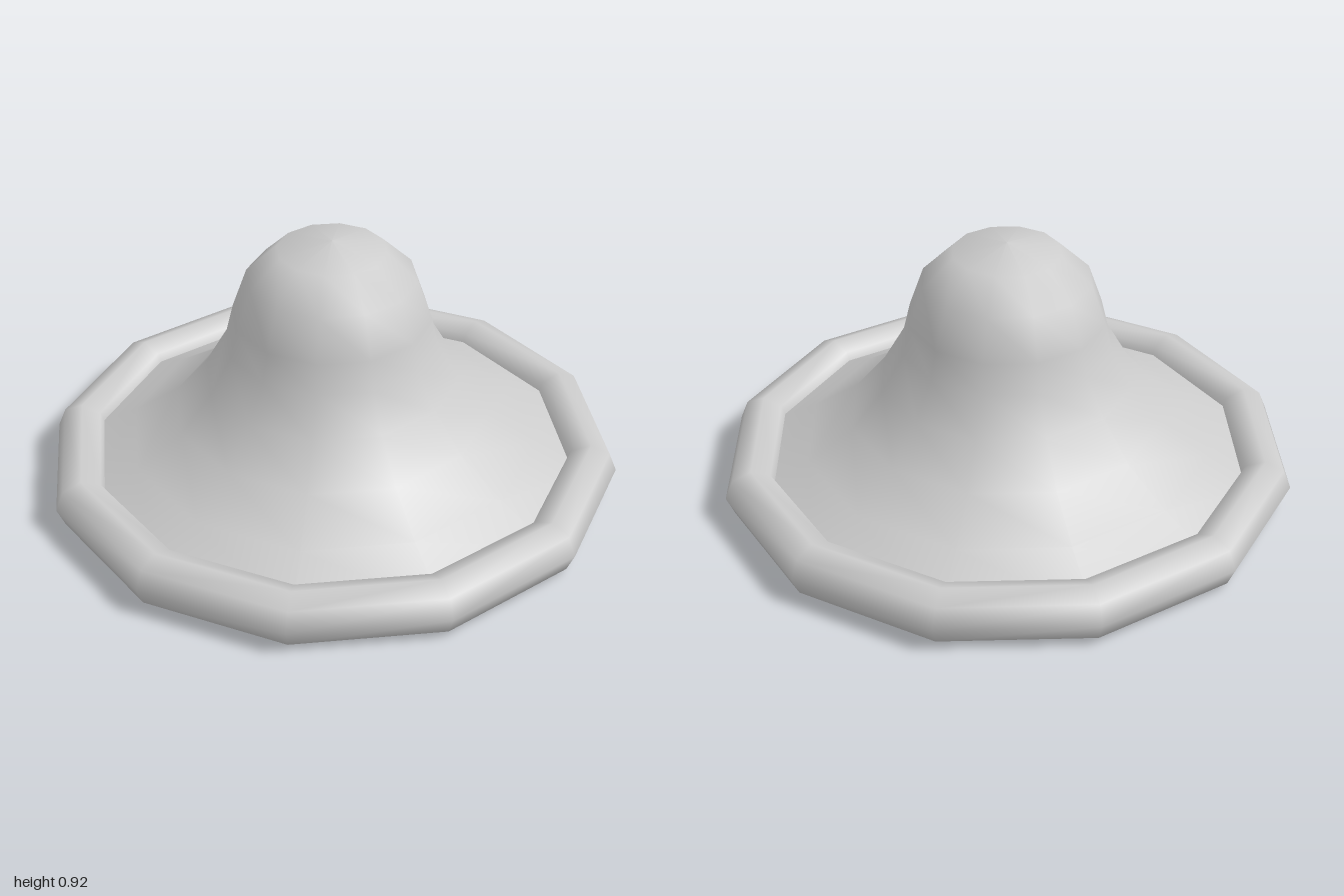
import * as THREE from 'three';

export function createModel() {
  const group = new THREE.Group();
  group.name = 'hat';
  const sides = 12;

  // Rolled rim: thick ring resting on the ground
  const tube = 0.0925;
  const rimGeometry = new THREE.TorusGeometry(1 - tube, tube, 8, sides);
  rimGeometry.rotateX(-Math.PI / 2);
  const rim = new THREE.Mesh(rimGeometry, new THREE.MeshStandardMaterial({ color: 0xcccccc }));
  rim.name = 'rim';
  rim.position.y = tube;
  group.add(rim);

  // Crown and flared brim: one thin open shell, from the rim up to the tip
  const profile = [
    [0.905, 0.09], [0.71, 0.185], [0.55, 0.29], [0.44, 0.42], [0.365, 0.55],
    [0.34, 0.65], [0.29, 0.79], [0.185, 0.89], [0, 0.92],
  ].map(([r, y]) => new THREE.Vector2(r, y));
  const crown = new THREE.Mesh(
    new THREE.LatheGeometry(profile, sides),
    new THREE.MeshStandardMaterial({ color: 0xcccccc, side: THREE.DoubleSide })
  );
  crown.name = 'crownAndBrim';
  group.add(crown);

  return group;
}
